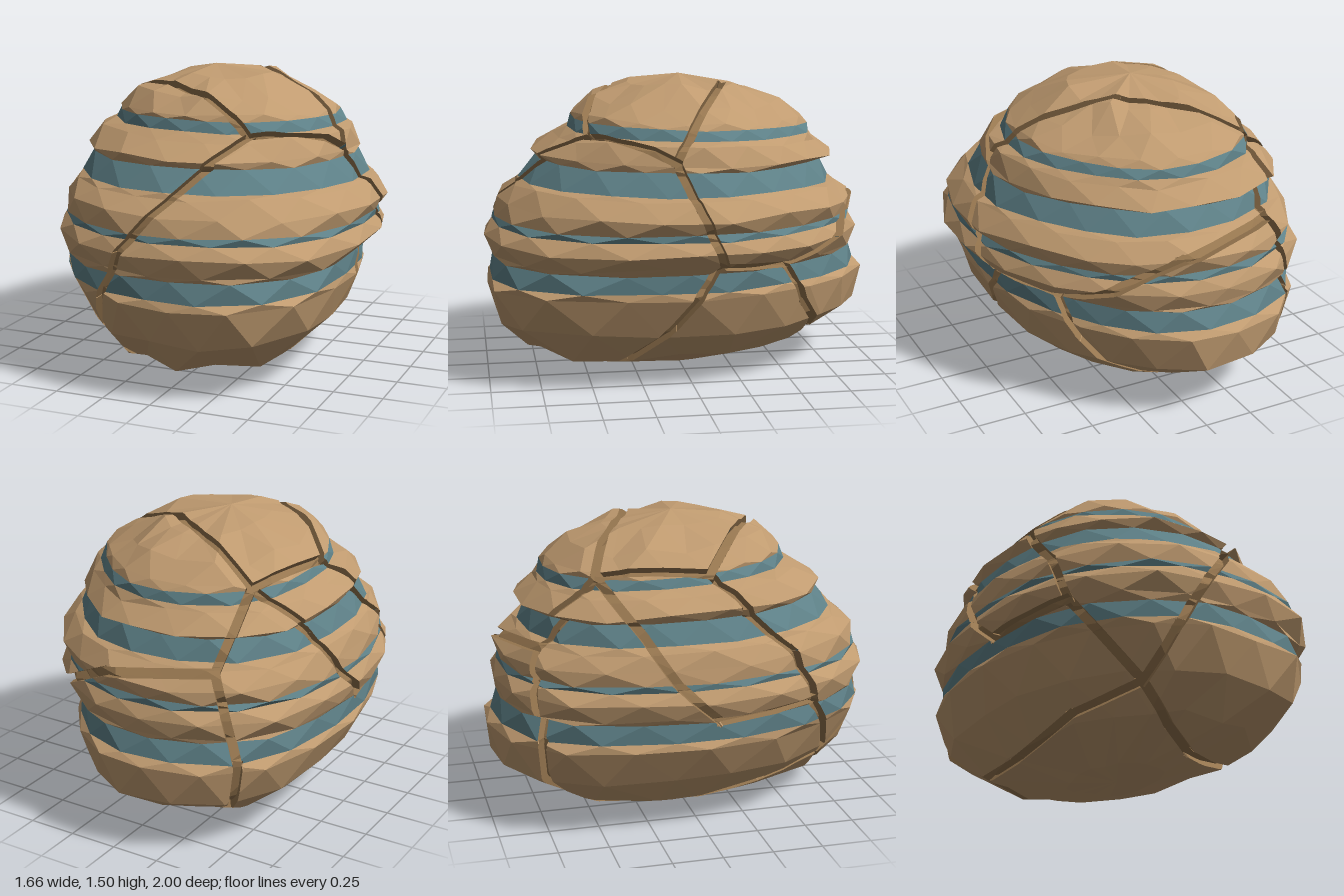
import * as THREE from 'three';

const SIDES = 18, HALF_WIDTH = 0.023, DEPTH = 0.042;
const CENTRE = new THREE.Vector3(0, 0.7, 0);
const V = (p) => new THREE.Vector3(...p).sub(CENTRE);

let seed = 7;
const rand = () => (seed = (seed * 16807) % 2147483647) / 2147483647 - 0.5;

// Layer outlines: height, right x, left x, back z, front z, jitter, name of the layer above
const LAYERS = [
  [0.00, -0.05, -0.05, 0.08, 0.08, 0, 'baseRock'],
  [0.01, -0.24, 0.12, -0.20, 0.34, 0.02, 'baseRock'],
  [0.125, -0.51, 0.44, -0.70, 0.77, 0.03, 'baseRock'],
  [0.28, -0.69, 0.62, -0.95, 0.92, 0.02, 'baseRock'],
  [0.47, -0.79, 0.70, -0.99, 0.99, 0.012, 'baseRock'],
  [0.505, -0.77, 0.70, -0.96, 0.97, 0.008, 'lowerBand'],
  [0.60, -0.77, 0.70, -0.92, 0.96, 0.008, 'middleRock'],
  [0.63, -0.79, 0.75, -0.94, 0.98, 0.015, 'middleRock'],
  [0.71, -0.82, 0.82, -0.96, 1.00, 0.015, 'middleRock'],
  [0.772, -0.79, 0.79, -0.92, 0.96, 0.008, 'thinBand'],
  [0.803, -0.785, 0.79, -0.91, 0.955, 0.008, 'upperRock'],
  [0.88, -0.79, 0.82, -0.92, 0.93, 0.02, 'upperRock'],
  [0.955, -0.75, 0.76, -0.84, 0.85, 0.015, 'upperRock'],
  [0.975, -0.72, 0.73, -0.80, 0.82, 0.008, 'upperBand'],
  [1.08, -0.68, 0.67, -0.75, 0.73, 0.008, 'shoulderRock'],
  [1.12, -0.71, 0.68, -0.82, 0.75, 0.02, 'shoulderRock'],
  [1.195, -0.65, 0.64, -0.73, 0.64, 0.02, 'shoulderRock'],
  [1.225, -0.59, 0.59, -0.70, 0.57, 0.008, 'topBand'],
  [1.275, -0.57, 0.56, -0.68, 0.55, 0.008, 'capRock'],
  [1.30, -0.56, 0.54, -0.65, 0.54, 0.012, 'capRock'],
  [1.375, -0.47, 0.43, -0.54, 0.45, 0.03, 'capRock'],
  [1.455, -0.27, 0.25, -0.36, 0.26, 0.03, 'capRock'],
  [1.50, -0.08, -0.08, -0.02, -0.02, 0, 'capRock'],
];

// Crack junctions
const F = [0.3, 1.21, 0.49], R = [0.65, 1.13, 0.1], U = [-0.48, 1.28, -0.5], L = [-0.57, 1.28, 0.05];
const FB = [-0.38, 0.22, 0.75], S = [0.76, 0.64, -0.12], B = [0.6, 0.6, -0.5];
const BL = [-0.47, 0.95, -0.82], K = [-0.4, 0.15, -0.6], M = [-0.66, 0.64, 0.54];

const CRACKS = [
  [F, [0.05, 0.96, 0.8], [-0.17, 0.72, 0.97], [-0.31, 0.46, 0.92], FB],
  [F, [0.53, 1.19, 0.28], R],
  [R, [0.57, 1.25, 0.02], [0.1, 1.46, -0.22], U],
  [R, [0.74, 0.9, 0], S],
  [S, [0.62, 0.35, 0.1], [0.42, 0.13, 0.32], [0.1, 0.03, 0.5], [-0.15, 0.08, 0.65], FB],
  [S, B, [0.5, 0.38, -0.6], [0.2, 0.14, -0.7], K],
  [B, [0.42, 0.71, -0.76], [0.1, 0.87, -0.88], BL],
  [BL, U, [-0.72, 1.05, -0.33], [-0.78, 0.8, -0.16], [-0.78, 0.6, 0.05], M],
  [BL, [-0.55, 0.5, -0.75], K],
  [K, [-0.46, 0.12, -0.2], [-0.52, 0.15, 0.35], FB],
  [U, L, [-0.3, 1.42, 0.25], [0.05, 1.37, 0.42], F],
  [L, [-0.66, 1.12, 0.2], [-0.68, 0.9, 0.42], M, [-0.58, 0.47, 0.65], FB],
];

// Each crack segment is a convex wedge bounded by four planes
const wedges = CRACKS.flatMap((path) => path.slice(1).map((end, i) => {
  const a = V(path[i]).normalize(), b = V(end).normalize();
  const n = a.clone().cross(b).normalize();
  return [n, n.clone().negate(), a.clone().cross(n), n.clone().cross(b)];
}));
const inside = (wedge, p) => wedge.every((n) => n.dot(p) <= HALF_WIDTH);
const onPlane = (n, p) => Math.abs(n.dot(p) - HALF_WIDTH) < 1e-6;

// Split a polygon by a plane into its inner and outer parts
function split(poly, n) {
  const inner = [], outer = [];
  poly.forEach((p, i) => {
    const q = poly[(i + 1) % poly.length];
    const dp = n.dot(p) - HALF_WIDTH, dq = n.dot(q) - HALF_WIDTH;
    if (dp <= 0) inner.push(p);
    if (dp >= 0) outer.push(p);
    if (dp * dq < 0) {
      const m = p.clone().lerp(q, dp / (dp - dq));
      inner.push(m);
      outer.push(m);
    }
  });
  return [inner, outer];
}

// Plan shape: full at back right, flat at back left; the front left corner swells in the
// base and the front right one is pared away there
function planBulge(a, y) {
  const s = Math.sin(2 * a), left = Math.cos(a) > 0, front = Math.sin(a) > 0;
  const amount = front
    ? (left ? Math.max(0.02, 0.17 - 0.28 * Math.max(0, y - 0.45)) : y < 0.5 ? -0.03 : 0.02)
    : (left ? -0.065 : 0.1);
  return 1.003 + amount * s * s;
}

// Irregular faceted rings, the upper ones tipped slightly towards the back
function makeRings() {
  return LAYERS.map(([y, x0, x1, z0, z1, jitter], j) =>
    Array.from({ length: SIDES }, (_, i) => {
      const a = (((i + (j % 2) / 2 + rand() * jitter * 10 + SIDES) % SIDES) / SIDES) * Math.PI * 2;
      const r = planBulge(a, y) + rand() * jitter * 1.8;
      const z = (z0 + z1) / 2 + ((z1 - z0) / 2) * Math.sin(a) * r;
      return V([
        (x0 + x1) / 2 + ((x1 - x0) / 2) * Math.cos(a) * r,
        y + rand() * jitter * 1.5 + Math.max(0, y - 0.6) * 0.045 * z,
        z]);
    }));
}

export function createModel() {
  const parts = {};
  const add = (name, poly) => {
    const list = (parts[name] ??= []);
    for (let i = 1; i < poly.length - 1; i++) {
      for (const p of [poly[0], poly[i], poly[i + 1]]) list.push(p.x, p.y + CENTRE.y, p.z);
    }
  };
  const sink = (p) => p.clone().setLength(p.length() - DEPTH);

  // Stitch the staggered rings into triangles
  const rings = makeRings();
  let faces = [];
  for (let j = 0; j < rings.length - 1; j++) {
    const lo = rings[j], hi = rings[j + 1], name = LAYERS[j][6];
    for (let i = 0; i < SIDES; i++) {
      const k = (i + 1) % SIDES;
      const pair = j % 2
        ? [[lo[i], hi[k], lo[k]], [hi[i], hi[k], lo[i]]]
        : [[lo[i], hi[i], lo[k]], [hi[i], hi[k], lo[k]]];
      pair.forEach((poly) => faces.push({ name, poly }));
    }
  }

  // Cut the cracks: sink the floor and join it to the surface with walls
  for (const wedge of wedges) {
    const next = [];
    for (const face of faces) {
      let rest = face.poly;
      const kept = [];
      for (const n of wedge) {
        const [inner, outer] = split(rest, n);
        if (outer.length > 2) kept.push({ name: face.name, poly: outer });
        rest = inner;
        if (rest.length < 3) break;
      }
      if (rest.length < 3) {
        next.push(face);
        continue;
      }
      next.push(...kept);
      add('cracks', rest.map(sink));
      rest.forEach((p, i) => {
        const q = rest[(i + 1) % rest.length];
        const n = wedge.find((m) => onPlane(m, p) && onPlane(m, q));
        if (!n) return;
        const beyond = p.clone().lerp(q, 0.5).addScaledVector(n, 0.002);
        if (!wedges.some((o) => o !== wedge && inside(o, beyond))) add('cracks', [p, q, sink(q), sink(p)]);
      });
    }
    faces = next;
  }
  faces.forEach(({ name, poly }) => add(name, poly));

  // One mesh for each layer, and one for the cracks
  const group = new THREE.Group();
  group.name = 'layeredBoulder';
  for (const [name, list] of Object.entries(parts)) {
    const geometry = new THREE.BufferGeometry();
    geometry.setAttribute('position', new THREE.Float32BufferAttribute(list, 3));
    geometry.computeVertexNormals();
    const mesh = new THREE.Mesh(geometry, new THREE.MeshStandardMaterial({
      color: name.endsWith('Band') ? 0x5f8289 : name === 'cracks' ? 0x96764f : 0xc09b70,
      flatShading: true, side: THREE.DoubleSide }));
    mesh.name = name;
    group.add(mesh);
  }
  return group;
}
